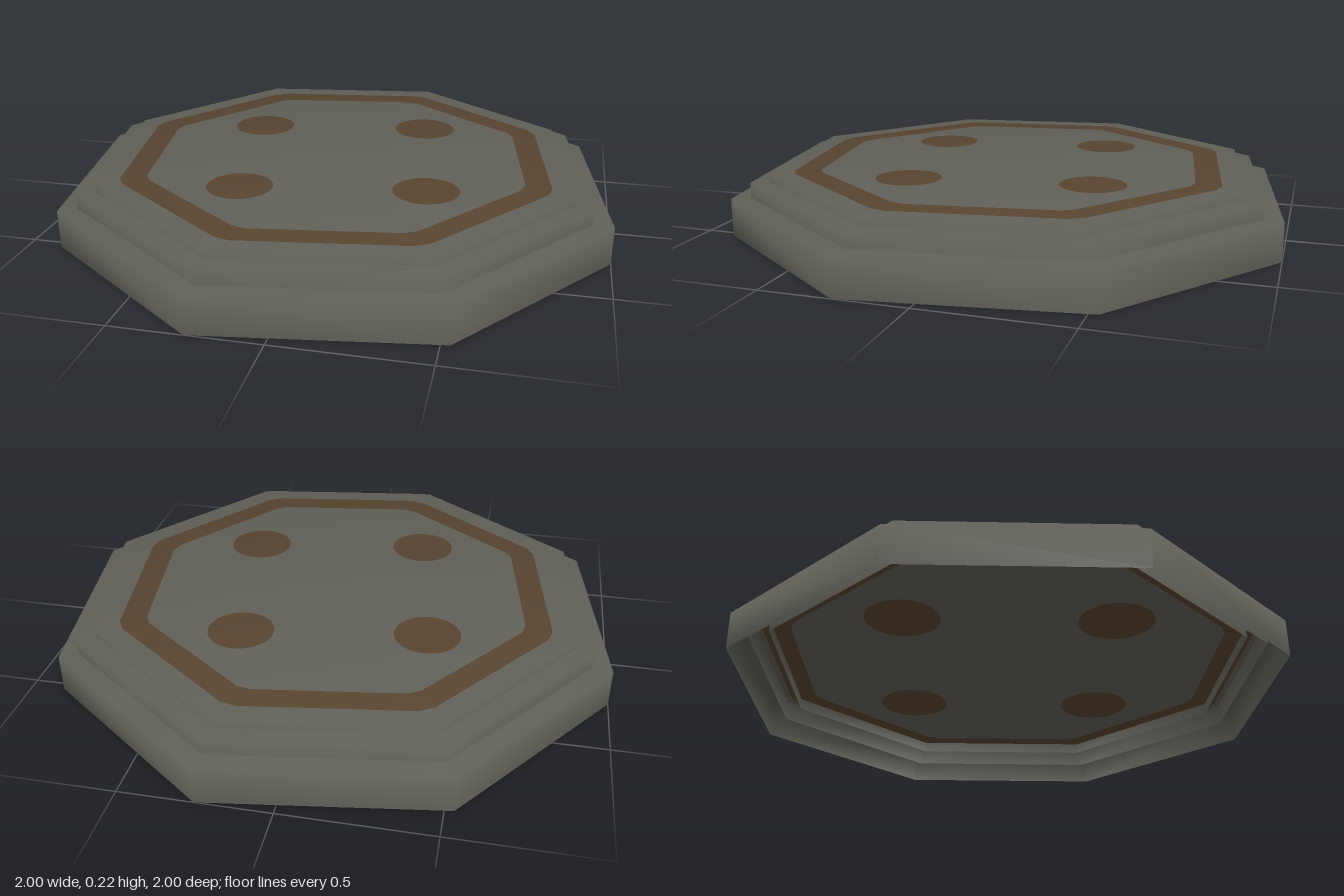
import * as THREE from 'three';

const TURN = Math.atan2(0.25, 1); // rotation of the octagon about y

const stone = new THREE.MeshStandardMaterial({ color: 0x605f57, side: THREE.DoubleSide });
stone.name = 'stone grey';
const rust = new THREE.MeshStandardMaterial({ color: 0x574430, side: THREE.DoubleSide });
rust.name = 'rust brown';

// Octagon outline seen from above; chop > 0 clips each corner into two points
function octagon(radius, chop = 0) {
  const points = [];
  for (let i = 0; i < 8; i++) {
    for (const offset of chop ? [-chop, chop] : [0]) {
      const a = TURN + (i * Math.PI) / 4 + offset;
      points.push(new THREE.Vector2(radius * Math.cos(a), -radius * Math.sin(a)));
    }
  }
  return points;
}

function circle(x, z, radius) {
  return new THREE.Path().absarc(x, -z, radius, 0, Math.PI * 2).getPoints(32);
}

// Soft shading near the top: normals point up and lean slightly outward
function softenTop(geometry, radius, top) {
  const { position, normal } = geometry.attributes;
  const lean = 0.2 / radius;
  const n = new THREE.Vector3();
  for (let i = 0; i < position.count; i++) {
    if (position.getY(i) < top - 0.001) continue;
    n.set(position.getX(i) * lean, 1, position.getZ(i) * lean).normalize();
    normal.setXYZ(i, n.x, n.y, n.z);
  }
}

// One hollow octagonal tray: wall open underneath, capped by a patterned plate
function createTier(name, radius, bottom, top) {
  const tier = new THREE.Group();
  tier.name = name;

  const add = (partName, geometry, material) => {
    softenTop(geometry, radius, top);
    const mesh = new THREE.Mesh(geometry, material);
    mesh.name = partName;
    tier.add(mesh);
  };
  const addPlate = (partName, outline, holes, material) => {
    const shape = new THREE.Shape(outline);
    shape.holes = holes.map((h) => new THREE.Path(h));
    const geometry = new THREE.ShapeGeometry(shape);
    geometry.rotateX(-Math.PI / 2);
    geometry.translate(0, top, 0);
    add(partName, geometry, material);
  };

  // Side wall
  const profile = [new THREE.Vector2(radius, bottom), new THREE.Vector2(radius, top)];
  add('wall', new THREE.LatheGeometry(profile, 8, Math.PI / 2 - TURN), stone);

  // Cap: border, coloured ring, centre field and four spots
  const ringOuter = octagon(radius * 0.899, 0.034);
  const ringInner = octagon(radius * 0.793, 0.034);
  const spots = [];
  for (let i = 0; i < 4; i++) {
    const a = Math.atan2(0.27, 0.365) + (i * Math.PI) / 2;
    const reach = radius * 0.508;
    spots.push(circle(reach * Math.cos(a), reach * Math.sin(a), radius * 0.129));
  }
  addPlate('capBorder', octagon(radius), [ringOuter], stone);
  addPlate('capRing', ringOuter, [ringInner], rust);
  addPlate('capField', ringInner, spots, stone);
  for (const spot of spots) addPlate('capSpot', spot, [], rust);
  return tier;
}

export function createModel() {
  const group = new THREE.Group();
  group.name = 'steppedPlatform';
  group.add(createTier('lowerTier', 1.031, 0, 0.135));
  group.add(createTier('middleTier', 0.962, 0.058, 0.19));
  group.add(createTier('upperTier', 0.896, 0.094, 0.22));
  return group;
}
